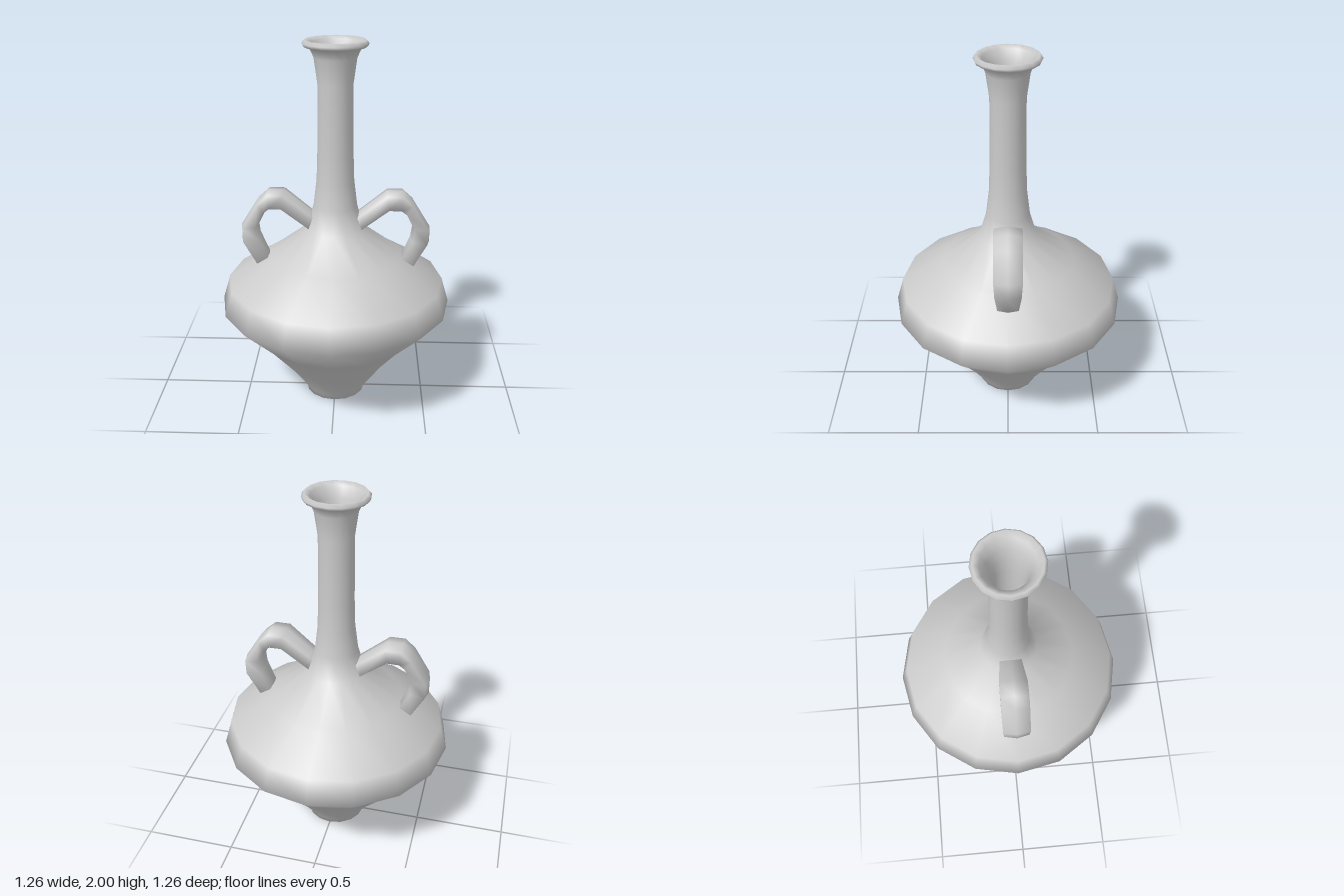
import * as THREE from 'three';

const material = new THREE.MeshStandardMaterial({ color: 0xcccccc });

// Closed wall of the vessel: foot recess, outside, lip, then down the inside.
function vessel() {
  const profile = [
    [0, 0.04], [0.1, 0.035], [0.115, 0.005], [0.14, 0], [0.165, 0.002], [0.17, 0.03],
    [0.28, 0.185], [0.45, 0.385], [0.63, 0.565], [0.59, 0.7], [0.36, 0.845],
    [0.155, 1.0], [0.117, 1.13], [0.1, 1.27], [0.095, 1.42], [0.092, 1.78],
    [0.11, 1.91], [0.13, 1.955], [0.163, 1.968], [0.17, 1.983], [0.155, 2.0],
    [0.128, 1.985], [0.1, 1.93], [0.086, 1.85], [0.08, 1.75], [0.082, 1.3],
    [0.12, 1.01], [0.34, 0.81], [0.55, 0.67], [0.58, 0.57], [0.4, 0.4],
    [0.24, 0.21], [0.12, 0.1], [0, 0.08],
  ].map(([r, y]) => new THREE.Vector2(r, y));
  return new THREE.LatheGeometry(profile, 16);
}

// Strap handle: a six-sided section swept between its outer and inner edges.
function handleGeometry() {
  // outer x, outer y, inner x, inner y, half width
  const rows = [
    [0.06, 1.04, 0.1, 0.955, 0.055],
    [0.13, 1.095, 0.16, 1.005, 0.06],
    [0.275, 1.21, 0.29, 1.108, 0.073],
    [0.36, 1.21, 0.352, 1.108, 0.074],
    [0.42, 1.155, 0.377, 1.09, 0.074],
    [0.51, 1.01, 0.415, 1.015, 0.073],
    [0.51, 0.925, 0.405, 0.945, 0.068],
    [0.435, 0.785, 0.35, 0.82, 0.055],
  ];
  const section = [[0, 0], [0.13, 1], [0.87, 1], [1, 0], [0.87, -1], [0.13, -1]];
  const n = section.length;
  const positions = [];
  const index = [];
  rows.forEach(([xo, yo, xi, yi, w], i) => {
    section.forEach(([d, s], j) => {
      positions.push(xo + (xi - xo) * d, yo + (yi - yo) * d, w * s);
      if (i === rows.length - 1) return;
      const a = i * n + j;
      const b = i * n + ((j + 1) % n);
      index.push(a, b, a + n, b, b + n, a + n);
    });
  });
  // End caps
  const last = (rows.length - 1) * n;
  for (let j = 1; j < n - 1; j++) {
    index.push(0, j + 1, j, last, last + j, last + j + 1);
  }
  const geometry = new THREE.BufferGeometry();
  geometry.setAttribute('position', new THREE.Float32BufferAttribute(positions, 3));
  geometry.setIndex(index);
  geometry.computeVertexNormals();
  return geometry;
}

export function createModel() {
  const model = new THREE.Group();
  model.name = 'twoHandledVase';

  const body = new THREE.Mesh(vessel(), material);
  body.name = 'body';
  model.add(body);

  // The two handles face each other across the neck.
  const strap = handleGeometry();
  ['leftHandle', 'rightHandle'].forEach((name, i) => {
    const handle = new THREE.Mesh(strap, material);
    handle.name = name;
    handle.rotation.y = i * Math.PI;
    model.add(handle);
  });
  return model;
}
